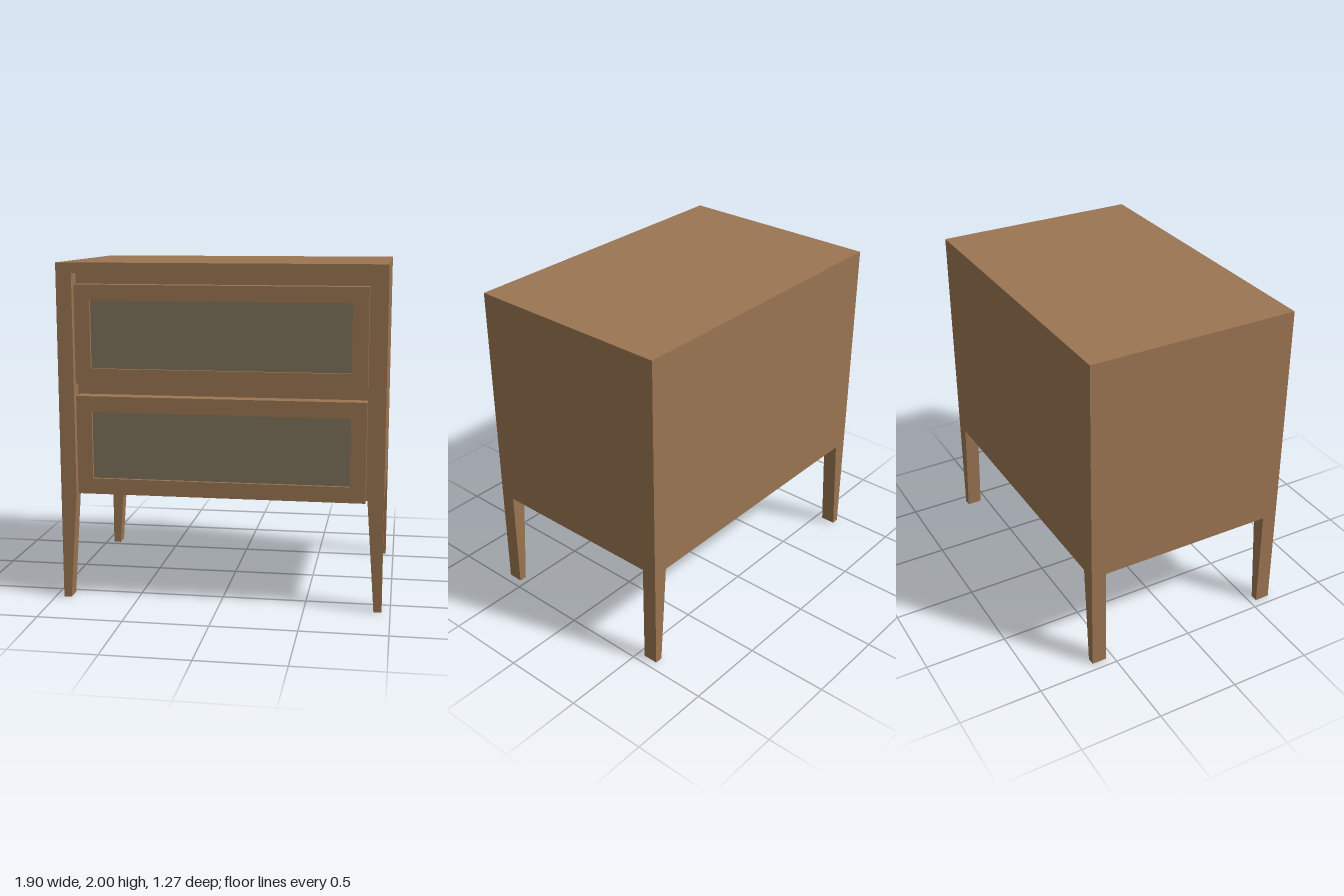
import * as THREE from 'three';

const wood = new THREE.MeshStandardMaterial({ name: 'wood', color: 0x9b7552 });
const panel = new THREE.MeshStandardMaterial({ name: 'greyGreenPanel', color: 0x7e745b });

// Box given by its minimum and maximum corners
function box(name, material, [x0, y0, z0], [x1, y1, z1]) {
  const mesh = new THREE.Mesh(new THREE.BoxGeometry(x1 - x0, y1 - y0, z1 - z0), material);
  mesh.position.set((x0 + x1) / 2, (y0 + y1) / 2, (z0 + z1) / 2);
  mesh.name = name;
  return mesh;
}

const W = 0.95, D = 0.635, LEG = 0.092, TOP = 1.94, BASE = 0.64;

// Post with a straight outer edge and an inner edge tapering below the cabinet
function leg(name, side, z) {
  const pts = [[W, 0], [W, TOP], [W - LEG, TOP], [W - LEG, BASE], [W - 0.046, 0]];
  const shape = new THREE.Shape(pts.map(([x, y]) => new THREE.Vector2(side * x, y)));
  const mesh = new THREE.Mesh(
    new THREE.ExtrudeGeometry(shape, { depth: LEG, bevelEnabled: false }), wood);
  mesh.position.z = z;
  mesh.name = name;
  return mesh;
}

// Framed drawer front with a recessed panel
function drawer(name, y0, y1, panelY0, panelY1) {
  const group = new THREE.Group();
  group.name = name;
  const rect = (Type, w, a, b) => new Type(
    [[-w, a], [w, a], [w, b], [-w, b]].map(([x, y]) => new THREE.Vector2(x, y)));
  const frameShape = rect(THREE.Shape, 0.845, y0, y1);
  frameShape.holes.push(rect(THREE.Path, 0.754, panelY0, panelY1));
  const depth = D - 0.54;
  const frame = new THREE.Mesh(
    new THREE.ExtrudeGeometry(frameShape, { depth, bevelEnabled: false }), wood);
  frame.position.z = 0.54;
  frame.name = name + 'Frame';
  group.add(frame, box(name + 'Panel', panel,
    [-0.754, panelY0, 0.56], [0.754, panelY1, D - 0.02]));
  return group;
}

export function createModel() {
  const model = new THREE.Group();
  model.name = 'nightstand';
  model.add(box('topBoard', wood, [-W, TOP, -D], [W, 2, D]));

  // Cabinet body between the posts, with the back flush with the rear legs
  model.add(box('cabinetBody', wood, [-W, BASE, -D + LEG], [W, TOP, D - LEG]));
  model.add(box('backPanel', wood, [-W + LEG, BASE, -D], [W - LEG, TOP, -D + LEG]));

  for (const [label, side] of [['Left', 1], ['Right', -1]]) {
    model.add(leg('front' + label + 'Leg', side, D - LEG));
    model.add(leg('back' + label + 'Leg', side, -D));
  }

  model.add(drawer('upperDrawer', 1.3, 1.875, 1.39, 1.785));
  model.add(drawer('lowerDrawer', 0.645, 1.228, 0.738, 1.135));
  return model;
}
